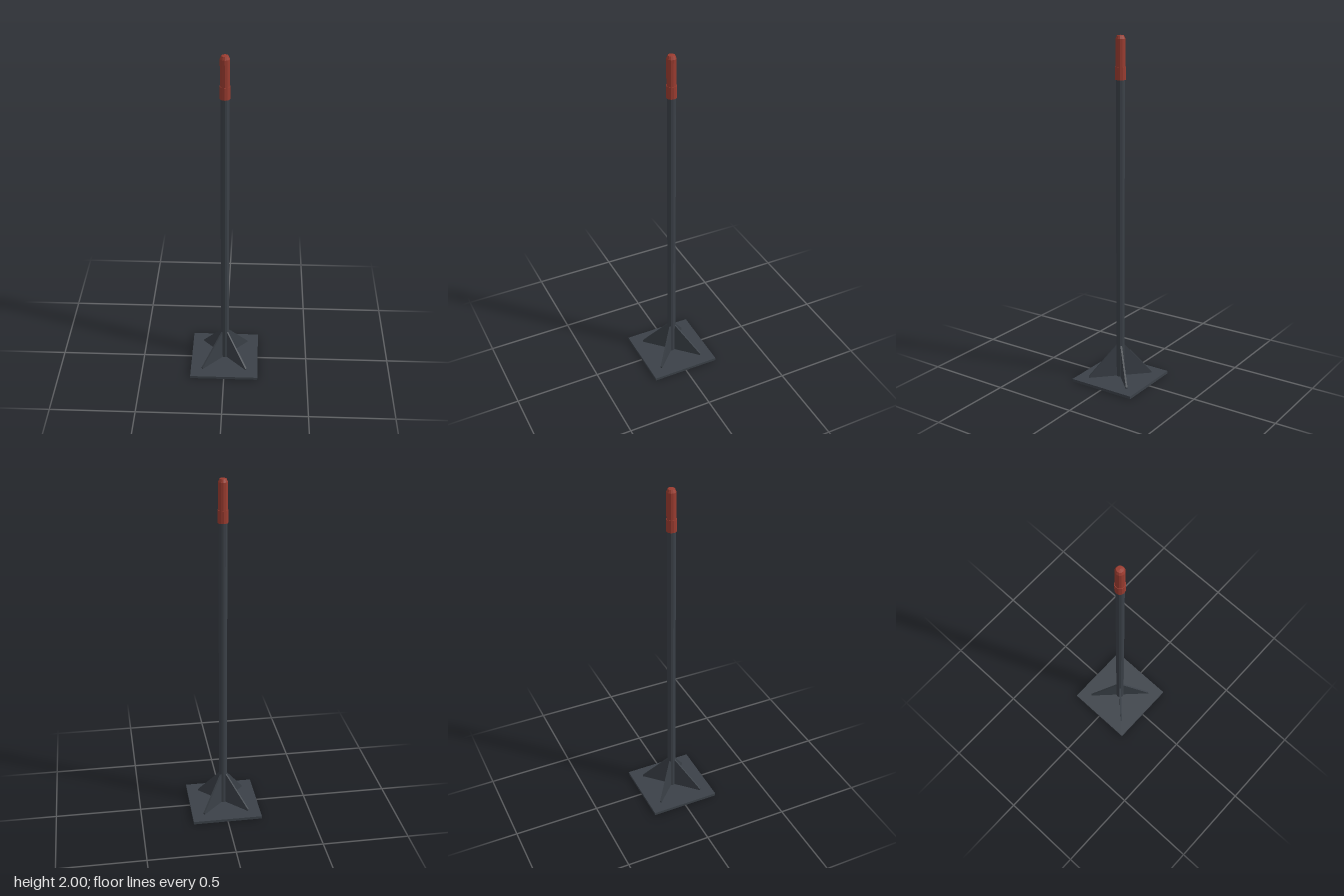
import * as THREE from 'three';

export function createModel() {
  const model = new THREE.Group();
  const steel = new THREE.MeshStandardMaterial({ color: 0x3b4148, flatShading: true });
  steel.name = 'dark steel';
  const red = new THREE.MeshStandardMaterial({ color: 0x9a3c30, flatShading: true });
  red.name = 'red cap';

  const SIDES = 12;
  const add = (name, geometry, material, y = 0) => {
    const mesh = new THREE.Mesh(geometry, material);
    mesh.name = name;
    mesh.position.y = y;
    model.add(mesh);
    return mesh;
  };

  // Square floor plate
  const plateH = 0.016;
  add('basePlate', new THREE.BoxGeometry(0.405, plateH, 0.405), steel, plateH / 2);

  // Upright pole
  const poleTop = 1.8;
  add('pole', new THREE.CylinderGeometry(0.024, 0.024, poleTop - plateH, SIDES), steel, (poleTop + plateH) / 2);

  // Four diagonal gusset fins
  const thickness = 0.01;
  const profile = new THREE.Shape([
    new THREE.Vector2(0.01, plateH),
    new THREE.Vector2(0.188, plateH),
    new THREE.Vector2(0.188, 0.025),
    new THREE.Vector2(0.024, 0.21),
    new THREE.Vector2(0.01, 0.21),
  ]);
  const finGeometry = new THREE.ExtrudeGeometry(profile, { depth: thickness, bevelEnabled: false });
  finGeometry.translate(0, 0, -thickness / 2);
  for (let i = 0; i < 4; i++) {
    add('gussetFin' + (i + 1), finGeometry, steel).rotation.y = Math.PI / 4 + (i * Math.PI) / 2;
  }

  // Wider collar at the foot of the cap
  add('capCollar', new THREE.CylinderGeometry(0.029, 0.029, 0.07, SIDES), red, 1.795);

  // Cap with a chamfered top
  const capProfile = [[0, 1.77], [0.0265, 1.77], [0.0265, 1.98], [0.019, 1.997], [0, 2]]
    .map(([r, y]) => new THREE.Vector2(r, y));
  add('cap', new THREE.LatheGeometry(capProfile, SIDES), red);

  return model;
}
